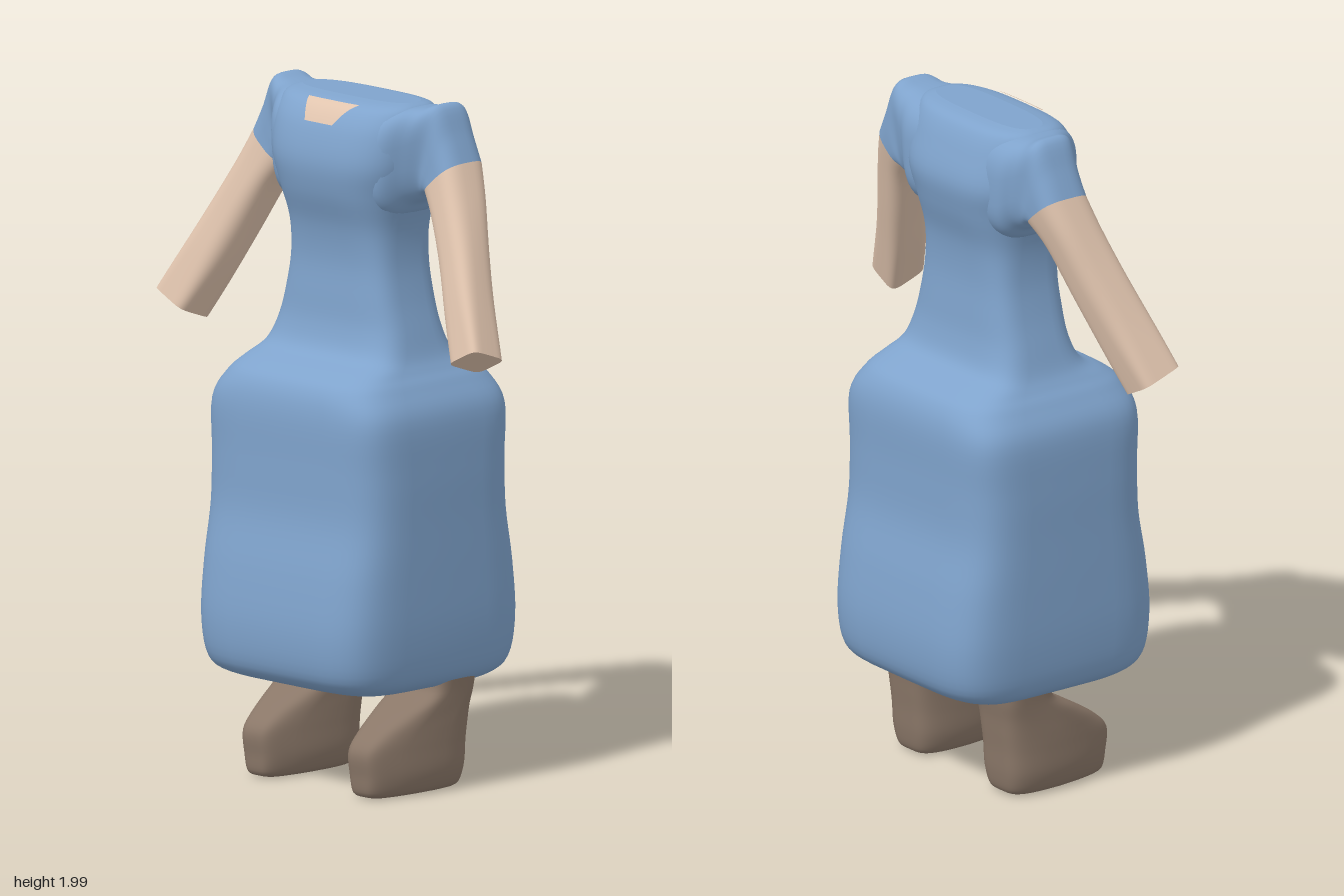
import * as THREE from 'three';

const SEGMENTS = 48;

// smooth interpolation through a list of numeric rows
function sample(rows, t) {
  const i = Math.min(Math.floor(t), rows.length - 2), f = t - i;
  const at = (k) => rows[Math.max(0, Math.min(rows.length - 1, k))];
  const [p, a, b, q] = [at(i - 1), at(i), at(i + 1), at(i + 2)];
  return a.map((v, k) => {
    const m0 = (b[k] - p[k]) / 2, m1 = (q[k] - v) / 2, d = b[k] - v;
    return v + f * (m0 + f * (3 * d - 2 * m0 - m1 + f * (m0 + m1 - 2 * d)));
  });
}

// point on a rounded-square section: row = centre xyz, u xyz, v xyz, squareness
function pointOn(row, angle) {
  const bend = (c) => Math.sign(c) * Math.abs(c) ** (2 / row[9]);
  const c = bend(Math.cos(angle)), s = bend(Math.sin(angle));
  return [0, 1, 2].map((k) => row[k] + row[3 + k] * c + row[6 + k] * s);
}

// closed skin through the sections with flat end caps
function loft(rows, steps = 5) {
  const pos = [], idx = [], n = (rows.length - 1) * steps;
  const ring = (t) => {
    const row = sample(rows, t);
    for (let j = 0; j < SEGMENTS; j++) pos.push(...pointOn(row, (j / SEGMENTS) * Math.PI * 2));
  };
  for (let i = 0; i <= n; i++) ring(i / steps);
  for (let i = 0; i < n; i++) {
    for (let j = 0; j < SEGMENTS; j++) {
      const k = (j + 1) % SEGMENTS, a = i * SEGMENTS, b = a + SEGMENTS;
      idx.push(a + j, b + j, a + k, a + k, b + j, b + k);
    }
  }
  for (const end of [0, rows.length - 1]) {
    const base = pos.length / 3;
    ring(end);
    pos.push(...rows[end].slice(0, 3));
    for (let j = 0; j < SEGMENTS; j++) {
      const a = base + j, b = base + (j + 1) % SEGMENTS, c = base + SEGMENTS;
      if (end === 0) idx.push(a, b, c); else idx.push(b, a, c);
    }
  }
  return build(pos, idx);
}

function build(pos, idx) {
  const g = new THREE.BufferGeometry();
  g.setAttribute('position', new THREE.Float32BufferAttribute(pos, 3));
  g.setIndex(idx);
  g.computeVertexNormals();
  return g;
}

// horizontal section: height, half width, front z, back z, squareness
const level = (x) => ([y, w, front, back, n]) =>
  [x, y, (front + back) / 2, w, 0, 0, 0, 0, (front - back) / 2, n];

// limb section from its upper and lower edge points, depth centre and half depth
const limb = (side) => ([topX, topY, lowX, lowY, z, depth, n, tilt = 0]) => [
  side * (topX + lowX) / 2, (topY + lowY) / 2, z,
  side * (topX - lowX) / 2, (topY - lowY) / 2, 0,
  0, -side * tilt, -side * depth, n];

export function createModel() {
  const group = new THREE.Group();
  const blue = new THREE.MeshStandardMaterial({ color: 0x7fa3cc });
  const skin = new THREE.MeshStandardMaterial({ color: 0xe0c4ae });
  const brown = new THREE.MeshStandardMaterial({ color: 0x8a7768 });
  blue.name = 'dress blue';
  skin.name = 'skin';
  brown.name = 'boot brown';
  const add = (name, geometry, material) => {
    const mesh = new THREE.Mesh(geometry, material);
    mesh.name = name;
    group.add(mesh);
  };

  // dress: boxy skirt, narrow waist, full chest
  const dress = [
    [0.305, 0.26, 0.2, -0.2, 5], [0.315, 0.31, 0.285, -0.285, 5], [0.36, 0.345, 0.345, -0.345, 5],
    [0.48, 0.36, 0.362, -0.362, 5], [0.64, 0.363, 0.345, -0.345, 5], [0.8, 0.363, 0.315, -0.315, 5],
    [0.95, 0.363, 0.31, -0.31, 5], [1.1, 0.355, 0.308, -0.31, 5.5], [1.18, 0.315, 0.285, -0.285, 5],
    [1.22, 0.285, 0.235, -0.235, 5], [1.26, 0.262, 0.165, -0.175, 4.5], [1.33, 0.24, 0.135, -0.15, 4],
    [1.42, 0.215, 0.125, -0.14, 4], [1.52, 0.198, 0.12, -0.135, 4], [1.62, 0.2, 0.135, -0.145, 3.5],
    [1.72, 0.225, 0.17, -0.175, 3], [1.81, 0.25, 0.183, -0.19, 3], [1.9, 0.255, 0.163, -0.165, 3],
    [1.955, 0.25, 0.13, -0.14, 3], [1.977, 0.24, 0.095, -0.115, 3], [1.986, 0.215, 0.05, -0.08, 3],
  ].map(level(0.003));
  add('dress', loft(dress), blue);

  // small patch of bare skin at the neckline, lying just over the dress
  const pos = [], idx = [], cols = 14, bands = 6;
  for (let i = 0; i <= bands; i++) {
    const f = i / bands, row = sample(dress, 17.25 + f * 1.6);
    for (let j = 0; j <= cols; j++) {
      const from = 1.47 - 0.2 * f, to = 1.67 + 0.14 * f;
      const p = pointOn(row, from + (to - from) * j / cols);
      pos.push(p[0], p[1] + 0.003, p[2] + 0.004);
      if (i < bands && j < cols) {
        const a = i * (cols + 1) + j, b = a + cols + 1;
        idx.push(a, b, a + 1, a + 1, b, b + 1);
      }
    }
  }
  add('necklinePatch', build(pos, idx), skin);

  for (const side of [-1, 1]) {
    const name = side > 0 ? 'left' : 'right';

    // short sleeve flowing out of the chest
    const cuff = [0.405, 1.835, 0.285, 1.735, -0.04, 0.083, 3];
    const sleeve = [
      [0.12, 1.975, 0.12, 1.66, -0.005, 0.15, 3], [0.215, 1.977, 0.2, 1.66, -0.012, 0.145, 3],
      [0.275, 1.982, 0.235, 1.695, -0.03, 0.108, 3], [0.33, 1.99, 0.26, 1.712, -0.042, 0.084, 3.5],
      [0.37, 1.91, 0.272, 1.722, -0.043, 0.083, 3], cuff,
    ].map(limb(side));
    add(name + 'Sleeve', loft(sleeve), blue);

    // bare forearm ending in a squared wrist
    const arm = [
      cuff, [0.45, 1.74, 0.335, 1.67, -0.015, 0.078, 3], [0.512, 1.61, 0.4, 1.54, 0.025, 0.07, 3, 0.015],
      [0.575, 1.48, 0.465, 1.41, 0.068, 0.066, 3.5, 0.02], [0.648, 1.335, 0.538, 1.28, 0.112, 0.062, 5, 0.022],
    ].map(limb(side));
    add(name + 'Arm', loft(arm), skin);

    // boot with a blunt toe and sloping instep
    const x = side > 0 ? 0.225 : -0.2;
    const boot = loft([
      [0.005, 0.055, 0.18, -0.11, 4], [0.018, 0.08, 0.21, -0.135, 4], [0.07, 0.096, 0.218, -0.147, 4],
      [0.14, 0.098, 0.222, -0.152, 4], [0.19, 0.098, 0.175, -0.157, 4], [0.24, 0.098, 0.095, -0.162, 4],
      [0.29, 0.1, 0.01, -0.17, 4], [0.34, 0.105, -0.005, -0.175, 4],
    ].map(level(x)));
    // narrow the toe
    const p = boot.attributes.position;
    for (let i = 0; i < p.count; i++) {
      const k = 1 - 0.3 * THREE.MathUtils.smoothstep(p.getZ(i), 0, 0.22);
      p.setX(i, x + (p.getX(i) - x) * k);
    }
    boot.computeVertexNormals();
    add(name + 'Boot', boot, brown);
  }
  return group;
}
